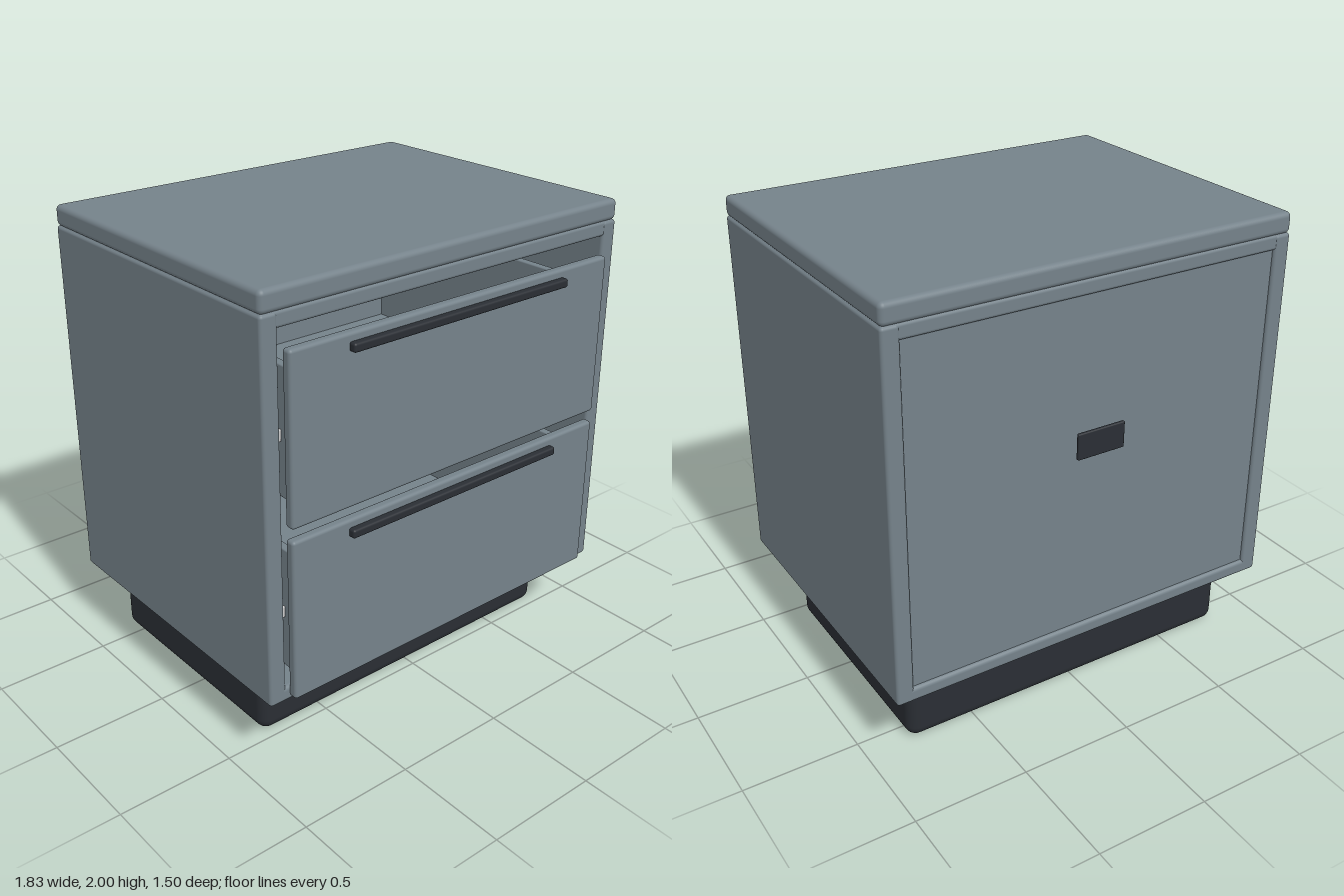
import * as THREE from 'three';
import { RoundedBoxGeometry } from 'three/addons/geometries/RoundedBoxGeometry.js';

const paint = new THREE.MeshStandardMaterial({ color: 0x75828a });
const dark = new THREE.MeshStandardMaterial({ color: 0x2a2e34 });
const metal = new THREE.MeshStandardMaterial({ color: 0xcccccc });

// Rounded box given by its limits on each axis
function block(parent, name, [x0, x1], [y0, y1], [z0, z1], radius, material = paint) {
  const geometry = new RoundedBoxGeometry(x1 - x0, y1 - y0, z1 - z0, 4, radius);
  const mesh = new THREE.Mesh(geometry, material);
  mesh.name = name;
  mesh.position.set((x0 + x1) / 2, (y0 + y1) / 2, (z0 + z1) / 2);
  parent.add(mesh);
  return mesh;
}

// The same block on both sides of x = 0
function pair(parent, name, [x0, x1], y, z, radius, material) {
  block(parent, name + 'Left', [x0, x1], y, z, radius, material);
  block(parent, name + 'Right', [-x1, -x0], y, z, radius, material);
}

// Drawer whose front panel starts at height y
function drawer(y) {
  const g = new THREE.Group();
  g.name = 'drawer';
  block(g, 'drawerFront', [-0.825, 0.825], [y, y + 0.7], [0.675, 0.72], 0.014);
  block(g, 'drawerHandle', [-0.56, 0.56], [y + 0.63, y + 0.667], [0.715, 0.75], 0.01, dark);
  // Open tray behind the front
  block(g, 'drawerFloor', [-0.77, 0.77], [y + 0.07, y + 0.1], [-0.6, 0.68], 0.004);
  block(g, 'drawerBack', [-0.77, 0.77], [y + 0.07, y + 0.6], [-0.62, -0.58], 0.006);
  pair(g, 'drawerSide', [0.74, 0.775], [y + 0.07, y + 0.6], [-0.62, 0.68], 0.006);
  // Slides between the tray and the cabinet
  pair(g, 'drawerSlide', [0.775, 0.84], [y + 0.3, y + 0.35], [-0.6, 0.6], 0.006, metal);
  return g;
}

export function createModel() {
  const model = new THREE.Group();
  model.name = 'nightstand';

  // Plinth
  block(model, 'plinth', [-0.805, 0.805], [0, 0.315], [-0.6, 0.47], 0.05, dark);

  // Cabinet shell
  const cabinet = new THREE.Group();
  cabinet.name = 'cabinet';
  const depth = [-0.72, 0.68];
  block(cabinet, 'topSlab', [-0.915, 0.915], [1.91, 2], depth, 0.022);
  block(cabinet, 'topRail', [-0.912, 0.912], [1.85, 1.915], [-0.717, 0.677], 0.014);
  block(cabinet, 'bottomPanel', [-0.915, 0.915], [0.31, 0.375], depth, 0.018);
  pair(cabinet, 'sidePanel', [0.84, 0.915], [0.312, 1.912], depth, 0.014);
  block(cabinet, 'backPanel', [-0.85, 0.85], [0.36, 1.86], [-0.705, -0.67], 0.006);
  model.add(cabinet);

  // Drawers
  for (const y of [0.33, 1.08]) model.add(drawer(y));

  // Small plate on the back
  block(model, 'backPlate', [-0.11, 0.11], [1.185, 1.3], [-0.747, -0.731], 0.006, dark);

  return model;
}
